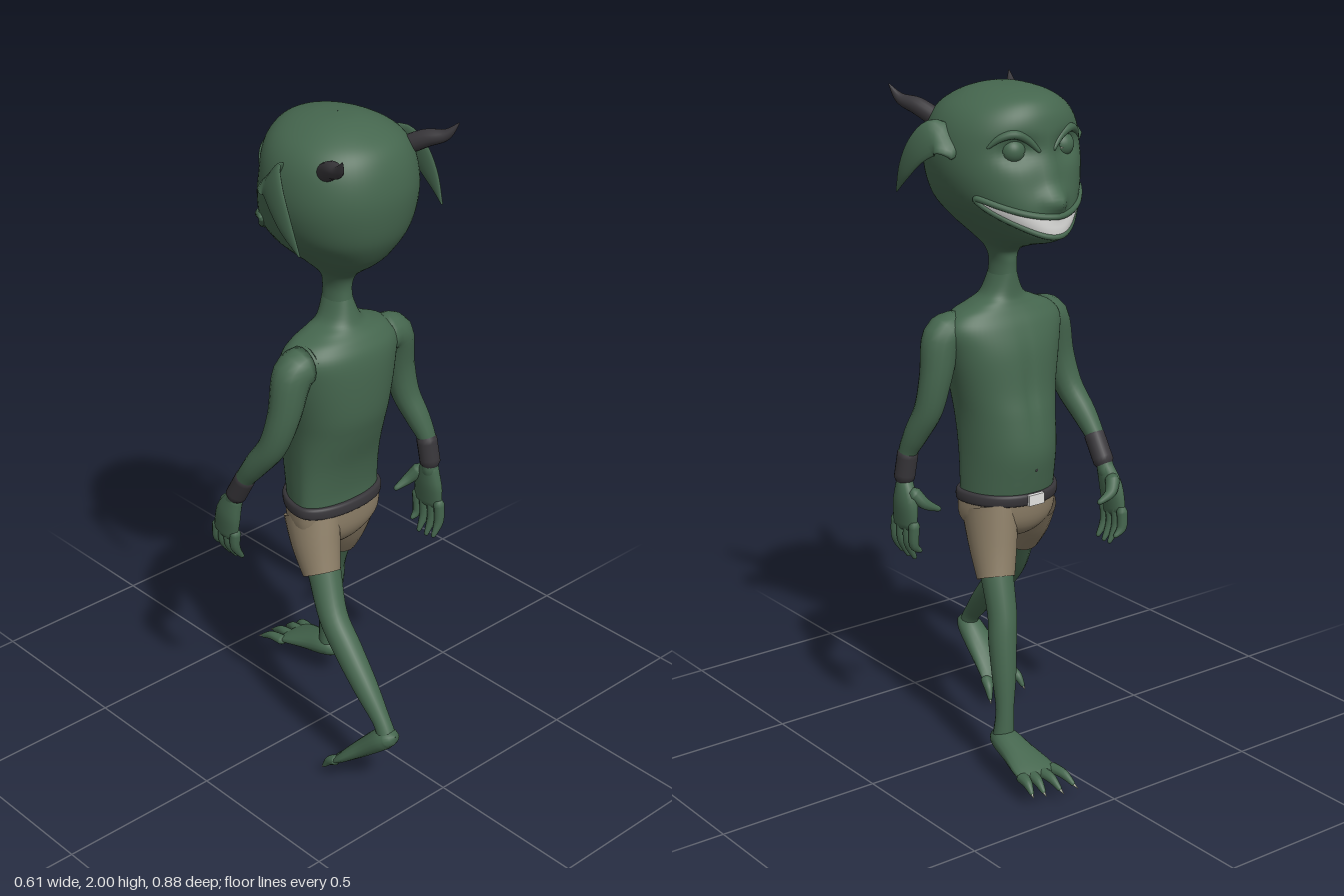
import * as THREE from 'three';

const mat = (name, color) => Object.assign(new THREE.MeshStandardMaterial({ color }), { name });
const skin = mat('green skin', 0x45664e);
const cloth = mat('tan cloth', 0x8c7e67);
cloth.side = THREE.DoubleSide;
const dark = mat('dark leather and horn', 0x38363a);
const white = mat('tooth white', 0xe2e2e0);
const pale = mat('pale eye and claw', 0xa9ad9c);
const V = (x, y, z) => new THREE.Vector3(x, y, z);

// Smooth interpolation through rows of numbers, u in 0..1
function sample(rows, u) {
  const n = rows.length - 1, p = Math.min(Math.max(u, 0), 1) * n;
  const i = Math.min(Math.floor(p), n - 1), f = p - i;
  const [a, b, c, d] = [rows[Math.max(i - 1, 0)], rows[i], rows[i + 1], rows[Math.min(i + 2, n)]];
  return b.map((_, k) => b[k] + 0.5 * f * (c[k] - a[k]
    + f * (2 * a[k] - 5 * b[k] + 4 * c[k] - d[k] + f * (3 * (b[k] - c[k]) + d[k] - a[k]))));
}

// Skin a list of vertex rows with quads
function grid(rows, closed) {
  const m = rows[0].length, index = [], g = new THREE.BufferGeometry();
  for (let i = 0; i < rows.length - 1; i++) {
    for (let j = 0; j < (closed ? m : m - 1); j++) {
      const a = i * m + j, b = i * m + (j + 1) % m;
      index.push(a, a + m, b, b, a + m, b + m);
    }
  }
  g.setFromPoints(rows.flat());
  g.setIndex(index);
  g.computeVertexNormals();
  return g;
}

function add(parent, name, geometry, material) {
  const mesh = new THREE.Mesh(geometry, material);
  mesh.name = name;
  parent.add(mesh);
  return mesh;
}

// Point on a horizontal ring; row = [y, zBack, zFront, halfWidth], t = 0 is the face side
const MID = 0.03;
function ringPoint([y, zb, zf, w], t) {
  const round = (v) => Math.sign(v) * Math.abs(v) ** 0.93;
  const c = Math.cos(t);
  return V(w * round(Math.sin(t)), y, MID + (c > 0 ? (zf - MID) * c : (MID - zb) * round(c)));
}
function loft(rows, nu, deform = (p) => p) {
  return grid(Array.from({ length: nu + 1 }, (_, i) => {
    const row = sample(rows, i / nu);
    return Array.from({ length: 64 }, (_, j) => deform(ringPoint(row, j / 32 * Math.PI)));
  }), true);
}

// Tapering limb through [x, y, z, ra, rb]; ra lies along ref
function limb(pts, ref = V(1, 0, 0), { open = false, seg = 16, steps = 5 } = {}) {
  const rows = pts.map((p) => (p.length > 4 ? p : [...p, p[3]])), n = (rows.length - 1) * steps;
  const out = [];
  const ring = (u, scale, push) => {
    const r = sample(rows, u), a = sample(rows, u - 0.02), b = sample(rows, u + 0.02);
    const T = V(b[0] - a[0], b[1] - a[1], b[2] - a[2]).normalize();
    const S = ref.clone().addScaledVector(T, -ref.dot(T)).normalize();
    const B = S.clone().cross(T);
    const c = V(r[0], r[1], r[2]).addScaledVector(T, push * Math.min(r[3], r[4]));
    out.push(Array.from({ length: seg }, (_, j) => {
      const q = j / seg * 2 * Math.PI;
      return c.clone().addScaledVector(S, Math.cos(q) * r[3] * scale).addScaledVector(B, Math.sin(q) * r[4] * scale);
    }));
  };
  if (!open) { ring(0, 0.01, -0.8); ring(0, 0.65, -0.6); }
  for (let i = 0; i <= n; i++) ring(i / n, 1, 0);
  if (!open) { ring(1, 0.65, 0.6); ring(1, 0.01, 0.8); }
  return grid(out, true);
}

const headRows = [[1.43, 0.084, -0.02, 0.04], [1.49, 0.078, -0.02, 0.033], [1.53, 0.09, -0.03, 0.045],
  [1.56, 0.125, -0.11, 0.07], [1.585, 0.16, -0.2, 0.095], [1.62, 0.195, -0.22, 0.132], [1.68, 0.23, -0.212, 0.185],
  [1.75, 0.247, -0.195, 0.212], [1.82, 0.25, -0.18, 0.218], [1.89, 0.235, -0.175, 0.204],
  [1.94, 0.205, -0.16, 0.172], [1.975, 0.15, -0.125, 0.12], [1.995, 0.09, -0.05, 0.06], [2, 0.031, 0.029, 0.001]];

// Eye sockets and pointed nose
function faceShape(p) {
  if (p.z > 0) return p;
  const ex = (Math.abs(p.x) - 0.085) / 0.05, ey = (p.y - 1.838) / 0.034;
  p.z += 0.026 * Math.exp(-ex * ex - ey * ey);
  p.z -= 0.036 * Math.exp(-((p.x / 0.035) ** 2) - ((p.y - 1.7) / 0.032) ** 2);
  p.z -= 0.012 * Math.exp(-((p.x / 0.022) ** 2) - ((p.y - 1.77) / 0.06) ** 2);
  return p;
}
// Head surface point at angle t and height y, pushed outward
function headPoint(t, y, push = 0) {
  let lo = 0, hi = 1;
  for (let k = 0; k < 30; k++) {
    const m = (lo + hi) / 2;
    if (sample(headRows, m)[0] < y) lo = m; else hi = m;
  }
  const p = faceShape(ringPoint(sample(headRows, lo), t));
  return p.add(V(Math.sin(t) * push, 0, -Math.cos(t) * push));
}

function buildHead(root) {
  const head = new THREE.Group();
  head.name = 'head';
  root.add(head);
  add(head, 'skull and neck', loft(headRows, 91, faceShape), skin);

  // Wide grin: tooth band with lips along both edges
  const edge = (k, q, push) => headPoint(k * 1.08, 1.631 + 0.075 * k * k + q * 0.029 * Math.sqrt(Math.max(0, 1 - k * k)), push);
  add(head, 'teeth', grid([-1, -0.5, 0, 0.5, 1].map((q) =>
    Array.from({ length: 41 }, (_, j) => edge(j / 20 - 1, q, 0.005)))), white);
  for (const q of [-1, 1]) {
    const pts = Array.from({ length: 17 }, (_, j) => [...edge(Math.sin((j / 16 - 0.5) * Math.PI), q, 0.002).toArray(), 0.009]);
    add(head, q > 0 ? 'upperLip' : 'lowerLip', limb(pts, V(0, 1, 0), { seg: 10, steps: 3 }), skin);
  }

  for (const s of [-1, 1]) {
    // Heavy-lidded eyes
    const eye = new THREE.Group();
    eye.name = 'eye';
    eye.position.set(s * 0.085, 1.836, -0.125);
    eye.rotation.y = -s * 0.4;
    head.add(eye);
    add(eye, 'eyeball', new THREE.SphereGeometry(0.032, 24, 16), pale);
    add(eye, 'pupil', new THREE.SphereGeometry(0.011, 12, 8), dark).position.set(0, -0.004, -0.024);
    add(eye, 'upperLid', new THREE.SphereGeometry(0.037, 24, 12, 0, 2 * Math.PI, 0, 1.45), skin).rotation.x = -0.35;
    add(eye, 'lowerLid', new THREE.SphereGeometry(0.036, 24, 12, 0, 2 * Math.PI, 0, 1.2), skin).rotation.x = -2.75;
    const brow = [[0.1, 1.835], [0.25, 1.868], [0.45, 1.885], [0.65, 1.875], [0.8, 1.85]];
    add(head, 'brow', limb(brow.map(([t, y], i) => [...headPoint(s * t, y, -0.003).toArray(), [0.006, 0.011, 0.013, 0.011, 0.005][i]]),
      V(0, 1, 0), { seg: 10 }), skin);
    // Drooping pointed ears
    add(head, 'ear', limb([[s * 0.19, 1.84, -0.015, 0.045, 0.016], [s * 0.235, 1.868, 0.025, 0.053, 0.012],
      [s * 0.262, 1.83, 0.075, 0.043, 0.01], [s * 0.27, 1.765, 0.125, 0.027, 0.008], [s * 0.265, 1.7, 0.17, 0.003, 0.003]],
    V(0, 0.75, 0.66)), skin);
    // Curved horns
    add(head, 'horn', limb([[s * 0.145, 1.895, 0.14, 0.027], [s * 0.172, 1.925, 0.195, 0.025],
      [s * 0.196, 1.942, 0.245, 0.016], [s * 0.212, 1.98, 0.278, 0.002]]), dark);
  }
}

function buildBody(root) {
  // Torso with a shallow centre groove
  const torso = [[0.79, 0.1, -0.11, 0.146], [0.86, 0.1, -0.125, 0.146], [0.95, 0.115, -0.138, 0.146],
    [1.05, 0.145, -0.125, 0.15], [1.13, 0.163, -0.107, 0.162], [1.24, 0.166, -0.09, 0.184], [1.31, 0.158, -0.066, 0.195],
    [1.35, 0.137, -0.043, 0.165], [1.375, 0.115, -0.03, 0.11], [1.4, 0.1, -0.023, 0.062], [1.46, 0.08, -0.02, 0.034]];
  add(root, 'torso', loft(torso, 50, (p) => {
    if (p.z < 0) p.z += 0.009 * Math.exp(-((p.x / 0.016) ** 2) - ((p.y - 1.13) / 0.12) ** 2);
    return p;
  }), skin);
  add(root, 'navel', new THREE.SphereGeometry(0.007, 10, 8), dark).position.set(0, 0.9, -0.127);
  add(root, 'shortsSeat', loft([[0.65, 0.035, 0.025, 0.02], [0.69, 0.08, -0.07, 0.09], [0.74, 0.103, -0.108, 0.147],
    [0.82, 0.106, -0.118, 0.151]], 16), cloth);
  add(root, 'belt', loft([[0.795, 0.1, -0.11, 0.14], [0.796, 0.112, -0.125, 0.156], [0.826, 0.11, -0.127, 0.155],
    [0.827, 0.09, -0.1, 0.13]], 12), dark);
  add(root, 'buckle', new THREE.BoxGeometry(0.055, 0.032, 0.012), white).position.set(0, 0.811, -0.128);
}

function buildArm(root, name, arm, cuff, palm, fingers, thumb) {
  const g = new THREE.Group();
  g.name = name;
  root.add(g);
  add(g, 'armSleeve', limb(arm), skin);
  add(g, 'wristband', limb(cuff.map((p) => [...p, 0.031])), dark);
  add(g, 'palm', limb(palm, V(0, 0, 1)), skin);
  fingers.forEach((f) => add(g, 'finger', limb(f.map((p, i) => [...p, [0.017, 0.015, 0.007][i]]), V(0, 0, 1), { seg: 10 }), skin));
  add(g, 'thumb', limb(thumb.map((p, i) => [...p, [0.022, 0.017, 0.008][i]]), V(0, 0, 1), { seg: 10 }), skin);
}

function buildLeg(root, name, leg, shorts, foot, toes) {
  const g = new THREE.Group();
  g.name = name;
  root.add(g);
  add(g, 'legSkin', limb(leg), skin);
  add(g, 'shortsLeg', limb(shorts, V(1, 0, 0), { open: true, seg: 24 }), cloth);
  add(g, 'foot', limb(foot), skin);
  // Each toe runs root to tip and ends in a claw
  toes.forEach(([a, b]) => {
    const at = (k, lift) => a.map((v, i) => v + (b[i] - v) * k + (i === 1 ? lift : 0));
    add(g, 'toe', limb([[...at(0, 0), 0.02, 0.015], [...at(0.45, 0.01), 0.014], [...at(0.82, 0.003), 0.007]], V(1, 0, 0), { seg: 10 }), skin);
    add(g, 'claw', limb([[...at(0.78, 0.004), 0.006], [...at(1, 0), 0.001]], V(1, 0, 0), { seg: 8 }), pale);
  });
}

export function createModel() {
  const root = new THREE.Group();
  root.name = 'horned creature';
  buildHead(root);
  buildBody(root);

  buildArm(root, 'leftArm',
    [[0.14, 1.3, 0.06, 0.058], [0.195, 1.285, 0.058, 0.058], [0.222, 1.18, 0.052, 0.048], [0.24, 1.08, 0.065, 0.042],
      [0.26, 1, 0.1, 0.036], [0.272, 0.93, 0.13, 0.027], [0.275, 0.83, 0.142, 0.025]],
    [[0.27, 0.94, 0.128], [0.275, 0.862, 0.14]],
    [[0.275, 0.85, 0.14, 0.027, 0.024], [0.28, 0.79, 0.13, 0.052, 0.026], [0.283, 0.72, 0.128, 0.054, 0.019]],
    [0.174, 0.144, 0.112, 0.083].map((z, i) => [[0.282, 0.73, z], [0.282, 0.67, z + 0.002], [0.262, 0.618 + [0.006, 0, 0, 0.03][i], z]]),
    [[0.27, 0.82, 0.1], [0.245, 0.79, 0.08], [0.203, 0.768, 0.07]]);
  buildArm(root, 'rightArm',
    [[-0.14, 1.3, 0.06, 0.058], [-0.195, 1.285, 0.06, 0.058], [-0.228, 1.17, 0.06, 0.048], [-0.25, 1.07, 0.035, 0.042],
      [-0.268, 0.99, -0.02, 0.036], [-0.275, 0.92, -0.07, 0.027], [-0.275, 0.83, -0.12, 0.025]],
    [[-0.273, 0.935, -0.06], [-0.275, 0.862, -0.102]],
    [[-0.275, 0.85, -0.108, 0.027, 0.024], [-0.28, 0.79, -0.132, 0.046, 0.026], [-0.28, 0.72, -0.148, 0.048, 0.019]],
    [-0.107, -0.134, -0.16, -0.186].map((z, i) => [[-0.278, 0.73, z], [-0.275, 0.68, z - 0.004], [-0.25, 0.632 + [0.006, 0, 0, 0.025][i], z - 0.004]]),
    [[-0.27, 0.82, -0.15], [-0.245, 0.79, -0.172], [-0.203, 0.768, -0.172]]);

  buildLeg(root, 'leftLeg',
    [[0.075, 0.74, -0.01, 0.06], [0.1, 0.6, -0.07, 0.05], [0.113, 0.48, -0.115, 0.044], [0.125, 0.4, -0.133, 0.042],
      [0.135, 0.3, -0.153, 0.036], [0.145, 0.2, -0.17, 0.027], [0.15, 0.12, -0.17, 0.032]],
    [[0.075, 0.77, -0.005, 0.074, 0.1], [0.089, 0.66, -0.04, 0.066, 0.079], [0.104, 0.575, -0.074, 0.055, 0.058]],
    [[0.15, 0.108, -0.148, 0.032, 0.028], [0.15, 0.108, -0.18, 0.043, 0.035], [0.152, 0.094, -0.24, 0.052, 0.03],
      [0.155, 0.076, -0.31, 0.066, 0.02], [0.155, 0.066, -0.345, 0.067, 0.013]],
    [[0.1, 0.087, -0.44], [0.139, 0.14, -0.442], [0.175, 0.19, -0.425], [0.206, 0.224, -0.41]]
      .map(([a, b, z]) => [[a, 0.066, -0.335], [b, 0.037, z]]));
  buildLeg(root, 'rightLeg',
    [[-0.075, 0.74, 0.015, 0.06], [-0.1, 0.61, 0.085, 0.05], [-0.125, 0.5, 0.15, 0.044], [-0.134, 0.42, 0.225, 0.043],
      [-0.14, 0.33, 0.31, 0.037], [-0.143, 0.25, 0.38, 0.027], [-0.145, 0.205, 0.405, 0.03]],
    [[-0.075, 0.77, 0.005, 0.074, 0.1], [-0.093, 0.69, 0.04, 0.068, 0.082], [-0.108, 0.61, 0.083, 0.056, 0.058]],
    [[-0.143, 0.212, 0.418, 0.032, 0.026], [-0.145, 0.195, 0.39, 0.042, 0.034], [-0.15, 0.14, 0.33, 0.052, 0.029],
      [-0.158, 0.088, 0.273, 0.066, 0.02], [-0.158, 0.068, 0.25, 0.066, 0.013]],
    [[-0.208, -0.22, 0.025], [-0.175, -0.168, 0.004], [-0.14, -0.126, 0.002], [-0.106, -0.085, 0.012]]
      .map(([a, b, y]) => [[a, 0.073, 0.255], [b, y, 0.205]]));
  return root;
}
